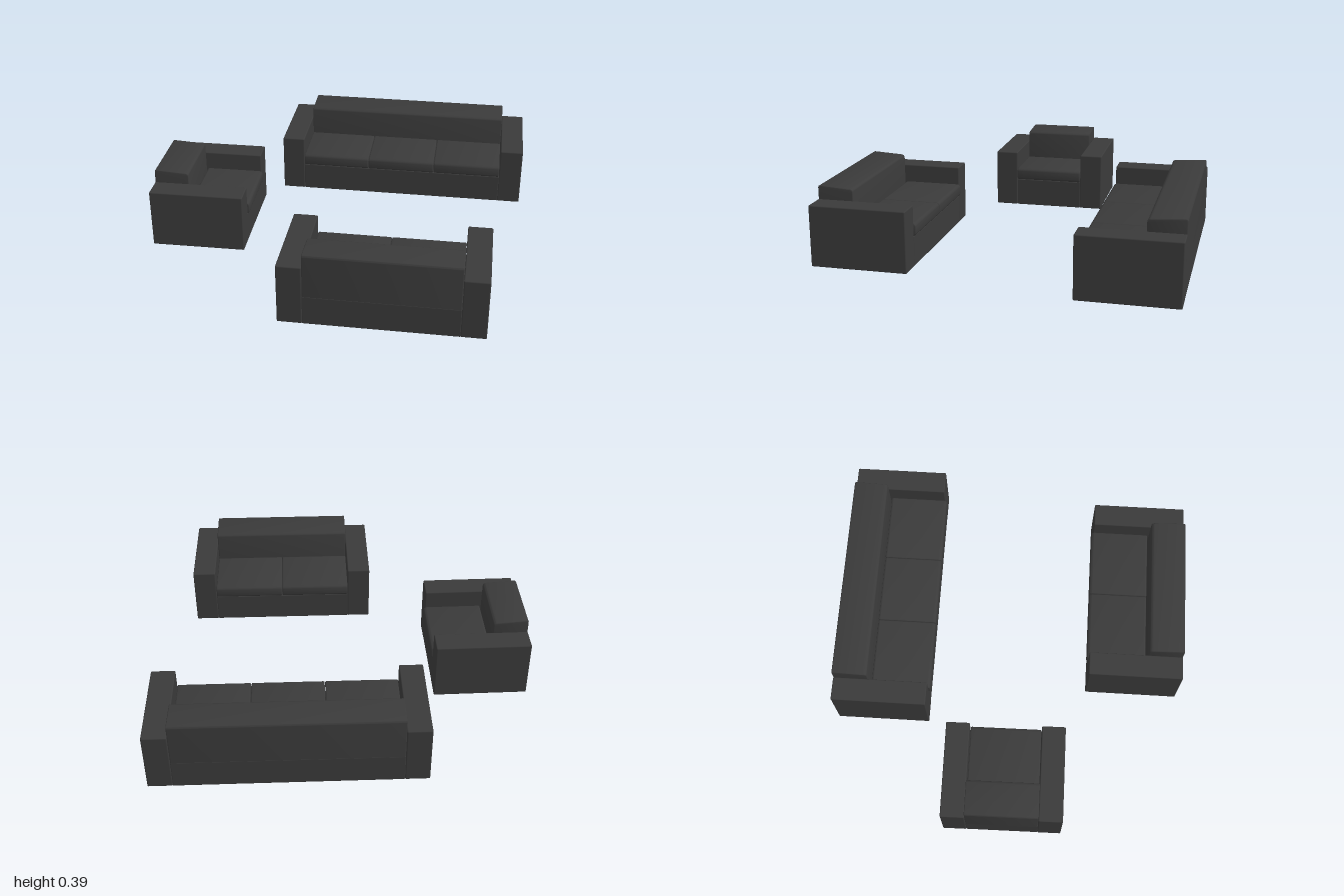
import * as THREE from 'three';
import { RoundedBoxGeometry } from 'three/addons/geometries/RoundedBoxGeometry.js';
import { toCreasedNormals } from 'three/addons/utils/BufferGeometryUtils.js';

const leather = new THREE.MeshStandardMaterial({ color: 0x3a3a3a });
const DEPTH = 0.508, ARM_W = 0.126, ARM_H = 0.322, BASE_H = 0.157;
const BACK = -DEPTH / 2, FRONT = DEPTH / 2;

function add(group, name, geometry, x = 0, y = 0, z = 0) {
  const mesh = new THREE.Mesh(geometry, leather);
  mesh.name = name;
  mesh.position.set(x, y, z);
  group.add(mesh);
}

// Extrudes a side profile (z, y) across the width, with small rounded ends
function sideExtrude(shape, width, bevel) {
  const g = new THREE.ExtrudeGeometry(shape, {
    depth: width - 2 * bevel, bevelSize: bevel, bevelThickness: bevel,
    bevelOffset: -bevel, bevelSegments: 3, curveSegments: 6,
  });
  g.translate(0, 0, -(width - 2 * bevel) / 2).rotateY(-Math.PI / 2);
  return toCreasedNormals(g, 0.7);
}

// Backrest: top slopes down slightly to a rounded front edge
function backProfile() {
  const s = new THREE.Shape(), f = BACK + 0.188;
  s.moveTo(BACK, BASE_H);
  s.lineTo(f, BASE_H);
  s.lineTo(f, 0.364);
  s.quadraticCurveTo(f, 0.381, f - 0.02, 0.383);
  s.lineTo(BACK + 0.012, 0.392);
  s.quadraticCurveTo(BACK, 0.392, BACK, 0.38);
  s.closePath();
  return s;
}

// Seat cushion: padded front edge that overhangs the base
function cushionProfile() {
  const s = new THREE.Shape(), b = BACK + 0.194, f = FRONT + 0.01, top = 0.225;
  s.moveTo(b, BASE_H);
  s.lineTo(FRONT - 0.005, BASE_H);
  s.quadraticCurveTo(f, BASE_H + 0.004, f, BASE_H + 0.022);
  s.lineTo(f, top - 0.022);
  s.quadraticCurveTo(f, top - 0.003, FRONT - 0.008, top);
  s.lineTo(b + 0.012, top);
  s.quadraticCurveTo(b, top, b, top - 0.012);
  s.closePath();
  return s;
}

// One seat facing +z, centred on its own footprint
function makeSeat(name, seats, seatWidth) {
  const g = new THREE.Group();
  g.name = name;
  const inner = seats * seatWidth;
  add(g, 'base', new RoundedBoxGeometry(inner, BASE_H, DEPTH - 0.002, 2, 0.004), 0, BASE_H / 2, 0);
  add(g, 'backrest', sideExtrude(backProfile(), inner - 0.002, 0.005));
  for (const side of [-1, 1]) {
    add(g, side > 0 ? 'leftArm' : 'rightArm',
      new RoundedBoxGeometry(ARM_W, ARM_H, DEPTH, 3, 0.006),
      side * (inner + ARM_W) / 2, ARM_H / 2, 0);
  }
  for (let i = 0; i < seats; i++) {
    add(g, 'seatCushion' + (i + 1), sideExtrude(cushionProfile(), seatWidth - 0.003, 0.006),
      (i - (seats - 1) / 2) * seatWidth);
  }
  return g;
}

export function createModel() {
  const model = new THREE.Group();
  model.name = 'sofaSet';

  const large = makeSeat('threeSeatSofa', 3, 0.384);
  large.position.set(0.297, 0, -0.69);

  const small = makeSeat('twoSeatSofa', 2, 0.386);
  small.position.set(0.333, 0, 0.686);
  small.rotation.y = Math.PI;

  // Armchair is turned a touch off square
  const chair = makeSeat('armchair', 1, 0.384);
  chair.position.set(-0.741, 0, 0.006);
  chair.rotation.y = Math.PI / 2 + 0.012;

  model.add(large, small, chair);
  return model;
}
